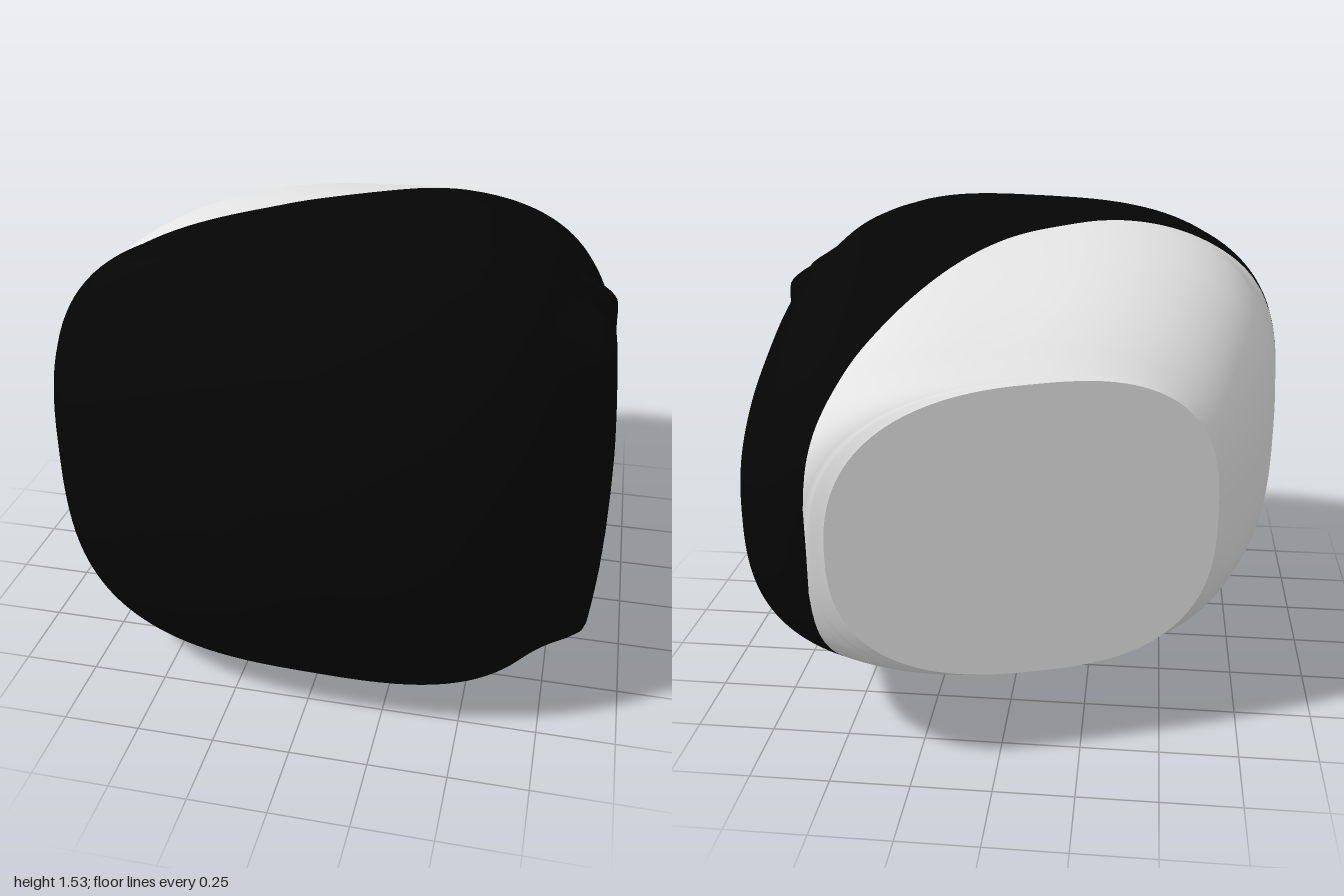
import * as THREE from 'three';
import { mergeVertices } from 'three/addons/utils/BufferGeometryUtils.js';

const MID = 0.766; // height of the horizontal symmetry plane
const { smoothstep } = THREE.MathUtils;

// Lofted sections, front to back:
// -x end (x, z), +x end (x, z), half height, roundness of the -x and +x halves
const SECTIONS = [
  [0, 1, 0, 1, 0, 2, 2],
  [-0.1, 0.997, 0.1, 0.997, 0.09, 2, 2],
  [-0.2, 0.985, 0.2, 0.985, 0.18, 2.05, 2.05],
  [-0.4, 0.94, 0.4, 0.94, 0.335, 2.2, 2.25],
  [-0.6, 0.87, 0.57, 0.87, 0.485, 2.4, 2.55],
  [-0.75, 0.77, 0.70, 0.77, 0.626, 2.6, 2.9],
  [-0.84, 0.64, 0.79, 0.64, 0.744, 2.8, 3.3],
  [-0.885, 0.54, 0.84, 0.54, 0.758, 2.85, 3.4],
  [-0.91, 0.45, 0.86, 0.45, 0.76, 2.85, 3.45],
  [-0.882, 0.38, 0.867, 0.38, 0.759, 2.85, 3.45],
  [-0.888, 0.25, 0.875, 0.25, 0.753, 2.85, 3.4],
  [-0.875, 0.1, 0.888, 0.1, 0.741, 2.85, 3.3],
  [-0.85, -0.04, 0.888, -0.08, 0.72, 2.85, 3.2],
  [-0.80, -0.24, 0.87, -0.3, 0.676, 2.8, 3],
  [-0.75, -0.4, 0.838, -0.55, 0.616, 2.8, 2.8],
  [-0.71, -0.5, 0.78, -0.78, 0.553, 2.8, 2.65],
  [-0.68, -0.56, 0.70, -0.905, 0.508, 2.8, 2.5],
  [-0.66, -0.6, 0.59, -0.98, 0.478, 2.8, 2.45],
  [-0.65, -0.62, 0.47, -1, 0.462, 2.8, 2.4],
];
// Plan curve dividing the dark shell from the pale body: x, z
const SEAM = new THREE.SplineCurve([[-0.91, 0.45], [-0.75, 0.42], [-0.6, 0.38], [-0.4, 0.305], [-0.25, 0.22],
  [-0.13, 0.115], [0, 0], [0.1, -0.12], [0.2, -0.28], [0.3, -0.47], [0.4, -0.69], [0.53, -1],
].map(([x, z]) => new THREE.Vector2(x, z))).getPoints(110).map((p) => [p.x, p.y]);
// Upright side profile of the groove and ridge: z, x
const GROOVE = [[0.1, 0.888], [0.15, 0.884], [0.18, 0.865], [0.21, 0.82], [0.24, 0.802], [0.27, 0.802],
  [0.44, 0.89], [0.47, 0.903], [0.5, 0.905], [0.53, 0.893], [0.58, 0.84], [0.64, 0.79]];

function lookup(table, x) {
  if (x <= table[0][0]) return table[0][1];
  for (let i = 1; i < table.length; i++) {
    const [x0, y0] = table[i - 1], [x1, y1] = table[i];
    if (x <= x1) return y0 + (y1 - y0) * (x - x0) / (x1 - x0);
  }
  return table[table.length - 1][1];
}

// Smoothly interpolated section at t = 0 .. SECTIONS.length - 1
function section(t) {
  const last = SECTIONS.length - 1, i = Math.min(Math.floor(t), last - 1), f = t - i;
  const at = (k) => SECTIONS[Math.max(0, Math.min(last, k))];
  return SECTIONS[0].map((_, c) => {
    const a = at(i - 1)[c], b = at(i)[c], d = at(i + 1)[c], e = at(i + 2)[c];
    const m0 = (d - a) / 2, m1 = (e - b) / 2;
    return b + m0 * f + (3 * (d - b) - 2 * m0 - m1) * f * f + (2 * (b - d) + m0 + m1) * f * f * f;
  });
}

// Point on a section's superellipse at angle a (0 = +x end, PI = -x end)
function surfacePoint([lx, lz, rx, rz, h, nl, nr], a) {
  const c = Math.cos(a), s = Math.sin(a), n = c > 0 ? nr : nl;
  const X = Math.sign(c) * Math.abs(c) ** (2 / n);
  const lean = 1 + 0.08 * (nr - nl) * X * (1 - X * X);
  const y = h * Math.sign(s) * Math.abs(s) ** (2 / n) * lean;
  const u = (X + 1) / 2, z = lz + (rz - lz) * u;
  let x = lx + (rx - lx) * u;
  if (c > 0) {
    // groove and ridge, with the ridge crest bowed slightly
    const crest = 0.905 - 0.03 * (y / 0.48) ** 2;
    const weight = (1 - smoothstep(Math.abs(y), 0.49, 0.6))
      * smoothstep(z, 0.1, 0.17) * (1 - smoothstep(z, 0.52, 0.64));
    x += (Math.min(lookup(GROOVE, z), crest) - x) * weight;
  }
  return [x, MID + y, z];
}

// Angle at which a section crosses the seam; PI = all shell, 0 = all body
function seamAngle([lx, lz, rx, rz, , nl, nr]) {
  const dark = (u) => lz + (rz - lz) * u >= lookup(SEAM, lx + (rx - lx) * u) - 1e-6;
  if (dark(0)) return Math.PI;
  if (!dark(1)) return 0;
  let lo = 0, hi = 1;
  for (let k = 0; k < 40; k++) {
    const m = (lo + hi) / 2;
    if (dark(m)) hi = m; else lo = m;
  }
  const X = 2 * lo - 1;
  return Math.acos(Math.sign(X) * Math.abs(X) ** ((X > 0 ? nr : nl) / 2));
}

// Indexed surface from a grid of rows of points
function gridGeometry(rows) {
  const w = rows[0].length, index = [];
  for (let i = 0; i < rows.length - 1; i++) {
    for (let j = 0; j < w - 1; j++) {
      const p = i * w + j;
      index.push(p, p + w, p + 1, p + 1, p + w, p + w + 1);
    }
  }
  const g = new THREE.BufferGeometry();
  g.setAttribute('position', new THREE.Float32BufferAttribute(rows.flat(2), 3));
  g.setIndex(index);
  const merged = mergeVertices(g, 1e-5);
  merged.computeVertexNormals();
  return merged;
}

export function createModel() {
  const group = new THREE.Group();
  const black = new THREE.MeshStandardMaterial({ name: 'black shell', color: 0x050505 });
  const white = new THREE.MeshStandardMaterial({ name: 'pale grey', color: 0xe6e6e6 });
  const add = (name, geometry, material) => {
    const mesh = new THREE.Mesh(geometry, material);
    mesh.name = name;
    group.add(mesh);
  };

  const SUB = 10, AROUND = 120, shellRows = [], bodyRows = [];
  const row = (sec, a0, a1) => Array.from({ length: AROUND + 1 },
    (_, j) => surfacePoint(sec, a0 + (a1 - a0) * j / AROUND));
  const steps = (SECTIONS.length - 1) * SUB;
  for (let i = 0; i <= steps; i++) {
    const sec = section(i / SUB), a = seamAngle(sec);
    shellRows.push(row(sec, -a, a));
    if (i >= 8 * SUB) bodyRows.push(row(sec, a, 2 * Math.PI - a));
  }
  add('frontShell', gridGeometry(shellRows), black);
  add('rearBody', gridGeometry(bodyRows), white);

  // Flat rear face
  const rim = bodyRows[bodyRows.length - 1];
  const centre = [-0.09, MID, -0.81];
  add('rearFace', gridGeometry([rim, rim.map(() => centre)]), white);

  // Pale upright inlay on the slope between groove and ridge
  const inlayRows = [];
  for (let i = 0; i <= 16; i++) {
    const p = 1 - i / 8, points = [];
    for (let j = 0; j <= 48; j++) {
      const v = -Math.cos(Math.PI * j / 48), round = Math.sqrt(1 - v ** 10);
      const z = 0.33 + p * round * (p > 0 ? 0.11 - 0.03 * v * v : 0.08);
      points.push([lookup(GROOVE, z) + 0.004, MID + 0.49 * v, z - 0.002]);
    }
    inlayRows.push(points);
  }
  add('sideInlay', gridGeometry(inlayRows), white);
  return group;
}
